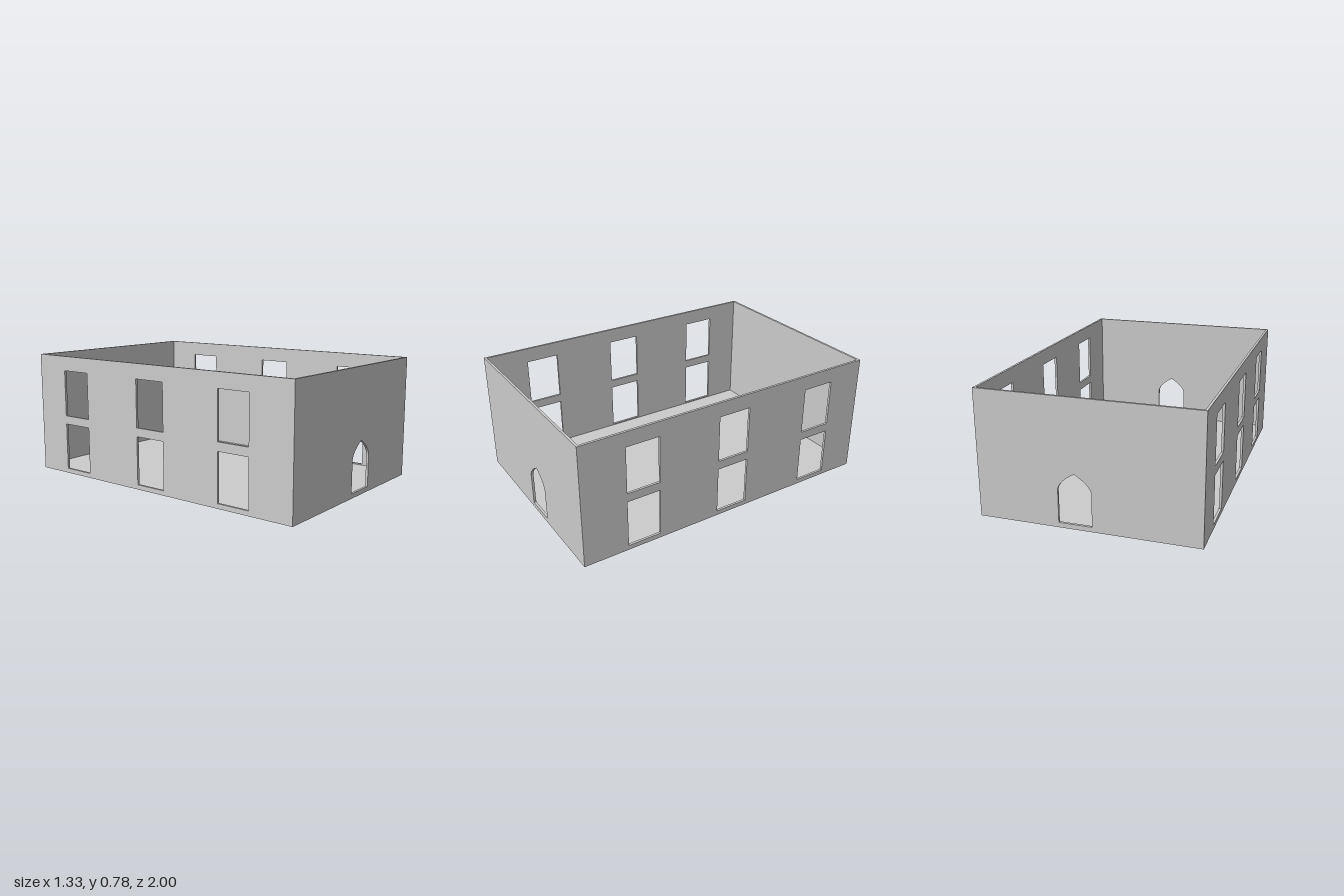
import * as THREE from 'three';

const W = 1.325, L = 2, H = 0.776, T = 0.015, FLOOR = 0.022;

function rect(Type, x0, x1, y0, y1) {
  const s = new Type();
  s.moveTo(x0, y0);
  s.lineTo(x1, y0);
  s.lineTo(x1, y1);
  s.lineTo(x0, y1);
  s.closePath();
  return s;
}

// Doorway with a pointed arch, centred on cx
function archedDoor(cx) {
  const half = 0.1, sill = 0.03, spring = 0.235, apex = 0.335;
  const p = new THREE.Path();
  p.moveTo(cx - half, sill);
  p.lineTo(cx + half, sill);
  p.lineTo(cx + half, spring);
  p.quadraticCurveTo(cx + half * 0.88, 0.285, cx, apex);
  p.quadraticCurveTo(cx - half * 0.88, 0.285, cx - half, spring);
  p.closePath();
  return p;
}

export function createModel() {
  const group = new THREE.Group();
  const material = new THREE.MeshStandardMaterial({ color: 0xcccccc, flatShading: true });
  const add = (name, geometry, x, y, z) => {
    const mesh = new THREE.Mesh(geometry, material);
    mesh.name = name;
    mesh.position.set(x, y, z);
    group.add(mesh);
  };
  const wall = (shape) =>
    new THREE.ExtrudeGeometry(shape, { depth: T, bevelEnabled: false, curveSegments: 8 });

  // Floor slab inside the walls
  add('floor', new THREE.BoxGeometry(W - 2 * T, FLOOR, L - 2 * T), 0, FLOOR / 2, 0);

  // Long side walls: three columns of windows on two storeys
  const side = rect(THREE.Shape, -L / 2, L / 2, 0, H);
  for (const z of [0.608, -0.013, -0.657]) {
    for (const [y0, y1] of [[0.03, 0.33], [0.385, 0.682]]) {
      side.holes.push(rect(THREE.Path, z - 0.107, z + 0.107, y0, y1));
    }
  }
  const sideGeometry = wall(side).rotateY(-Math.PI / 2);
  add('leftWall', sideGeometry, W / 2, 0, 0);
  add('rightWall', sideGeometry, -W / 2 + T, 0, 0);

  // End walls with matching doorways, fitted between the side walls
  const end = rect(THREE.Shape, -W / 2 + T, W / 2 - T, 0, H);
  end.holes.push(archedDoor(0.072));
  const endGeometry = wall(end);
  add('frontWall', endGeometry, 0, 0, L / 2 - T);
  add('backWall', endGeometry, 0, 0, -L / 2);

  return group;
}
